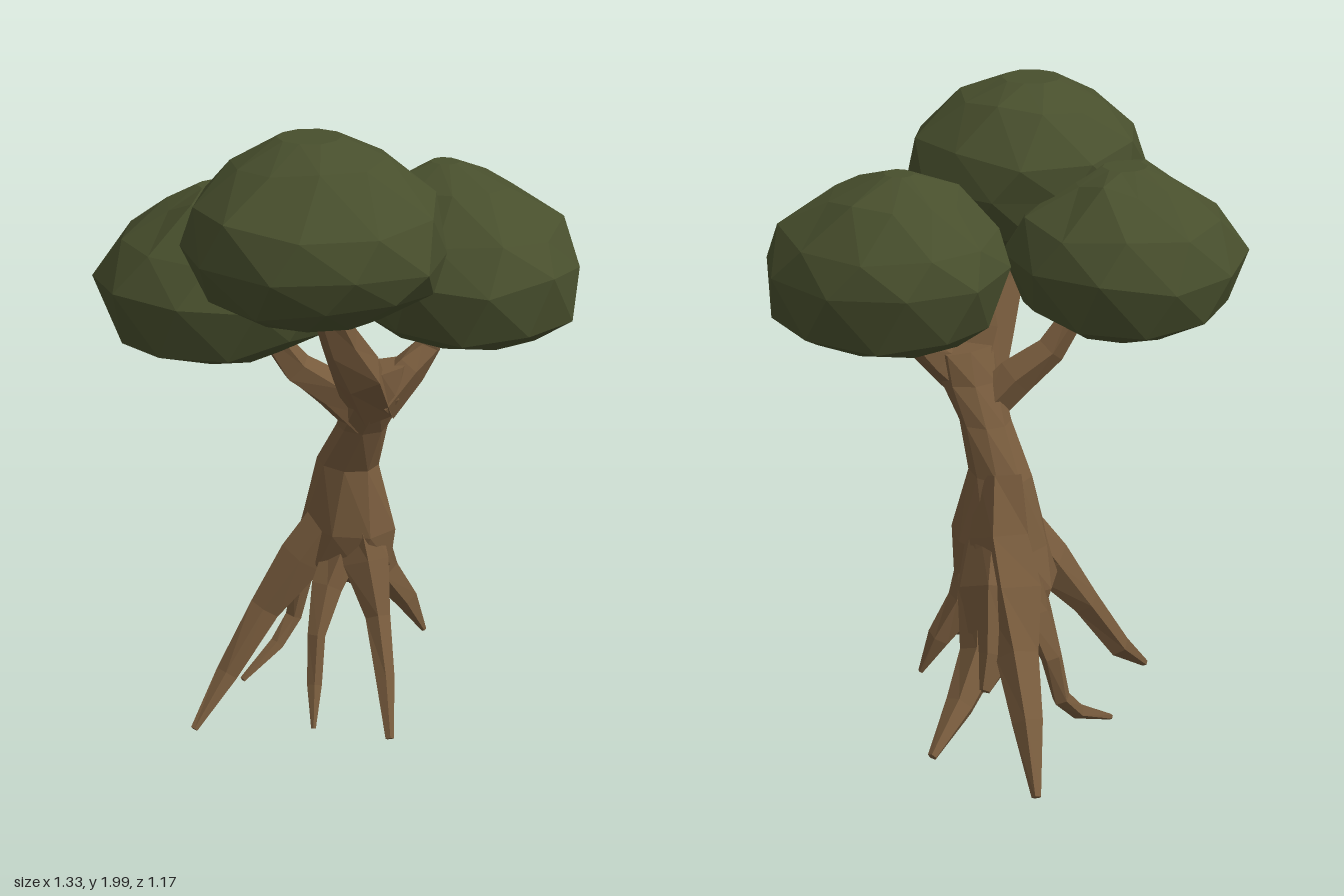
import * as THREE from 'three';

const V = (x, y, z) => new THREE.Vector3(x, y, z);

// Seeded noise in -1..1
function makeNoise(seed) {
  let s = seed;
  return () => {
    s = (s * 16807) % 2147483647;
    return (s / 2147483647) * 2 - 1;
  };
}

// Faceted skin over a list of rings, closed at both ends
function loft(rings) {
  const n = rings[0].length;
  const pts = [];
  const tri = (a, b, c) => pts.push(a, b, c);
  for (let i = 0; i < rings.length - 1; i++) {
    for (let j = 0; j < n; j++) {
      const k = (j + 1) % n;
      const lo = rings[i], hi = rings[i + 1];
      tri(lo[j], lo[k], hi[j]);
      tri(lo[k], hi[k], hi[j]);
    }
  }
  const centre = (r) => r.reduce((s, p) => s.add(p), V(0, 0, 0)).divideScalar(n);
  const first = rings[0], last = rings[rings.length - 1];
  const c0 = centre(first), c1 = centre(last);
  for (let j = 0; j < n; j++) {
    const k = (j + 1) % n;
    tri(first[k], first[j], c0);
    tri(last[j], last[k], c1);
  }
  const geo = new THREE.BufferGeometry().setFromPoints(pts);
  geo.computeVertexNormals();
  return geo;
}

// One ring around c, spanned by u and v
function ring(c, u, v, ru, rv, n, noise, rough, phase = 0) {
  return Array.from({ length: n }, (_, j) => {
    const a = (j / n) * Math.PI * 2 + phase;
    const k = 1 + noise() * rough;
    return c.clone()
      .addScaledVector(u, Math.cos(a) * ru * k)
      .addScaledVector(v, Math.sin(a) * rv * k);
  });
}

// Tapering limb through rows of [x, y, z, radius]
function limb(rows, seed) {
  const noise = makeNoise(seed);
  const c = rows.map((r) => V(r[0], r[1], r[2]));
  const rings = rows.map((r, i) => {
    const t = c[Math.min(i + 1, c.length - 1)].clone().sub(c[Math.max(i - 1, 0)]).normalize();
    const u = V(0.3, 0.2, 1).cross(t).normalize();
    const v = t.clone().cross(u);
    return ring(c[i], u, v, r[3], r[3], 5, noise, 0.12);
  });
  return loft(rings);
}

// Clump of leaves: profile of [height share, radius share], its top leaning by lean
function clump([x, y, z], [rx, height, rz], profile, [leanX, leanZ], seed) {
  const noise = makeNoise(seed);
  const rings = profile.map(([t, r], i) => {
    const c = V(x + leanX * t * t, y + t * height, z + leanZ * t * t);
    const R = ring(c, V(1, 0, 0), V(0, 0, -1), rx * r, rz * r, 10, noise, 0.04, seed + i * 0.22);
    // Uneven heights, except at the very bottom and top
    if (i > 0 && i < profile.length - 1) R.forEach((p) => { p.y += noise() * 0.02; });
    return R;
  });
  return loft(rings);
}

export function createModel() {
  const bark = new THREE.MeshStandardMaterial({ color: 0x765a3c });
  bark.name = 'bark brown';
  const leaf = new THREE.MeshStandardMaterial({ color: 0x484f2d });
  leaf.name = 'leaf green';

  const tree = new THREE.Group();
  tree.name = 'tree';
  const add = (name, geo, mat) => {
    const m = new THREE.Mesh(geo, mat);
    m.name = name;
    tree.add(m);
  };

  // Leaning trunk: x, y, z, half width, half depth
  const trunkNoise = makeNoise(71);
  const trunkRows = [
    [0.11, 0.43, -0.13, 0.09, 0.12],
    [0.10, 0.52, -0.09, 0.145, 0.185],
    [0.09, 0.64, -0.06, 0.14, 0.17],
    [0.08, 0.85, -0.05, 0.088, 0.108],
    [0.065, 1.0, 0.03, 0.08, 0.085],
    [0.055, 1.12, 0.1, 0.1, 0.085],
    [0.05, 1.22, 0.12, 0.12, 0.06],
  ];
  add('trunk', loft(trunkRows.map(([x, y, z, rx, rz], i) =>
    ring(V(x, y, z), V(1, 0, 0), V(0, 0, -1), rx, rz, 8, trunkNoise, 0.06, i * 0.2))), bark);

  // Branches, one up into each clump
  const branches = {
    frontRightBranch: [[0.05, 1.08, 0.09, 0.08], [-0.06, 1.23, 0.14, 0.08], [-0.16, 1.36, 0.17, 0.058], [-0.25, 1.5, 0.2, 0.04], [-0.29, 1.62, 0.22, 0.035]],
    backRightBranch: [[0.05, 1.03, 0.06, 0.07], [-0.03, 1.13, 0.0, 0.062], [-0.12, 1.21, -0.07, 0.05], [-0.21, 1.36, -0.12, 0.037]],
    leftBranch: [[0.05, 1.1, 0.11, 0.08], [0.15, 1.2, 0.15, 0.055], [0.22, 1.26, 0.165, 0.042], [0.25, 1.42, 0.18, 0.034]],
  };

  // Roots splaying out from the foot of the trunk
  const roots = {
    backLeftRoot: [[0.1, 0.86, -0.08, 0.07], [0.14, 0.68, -0.13, 0.1], [0.19, 0.53, -0.21, 0.115], [0.27, 0.38, -0.32, 0.075], [0.36, 0.24, -0.45, 0.05], [0.455, 0.08, -0.575, 0.015]],
    rootWeb: [[0.1, 0.75, -0.08, 0.08], [0.2, 0.53, -0.17, 0.12], [0.3, 0.36, -0.24, 0.07], [0.37, 0.28, -0.27, 0.02]],
    leftRoot: [[0.11, 0.78, -0.06, 0.07], [0.2, 0.51, -0.12, 0.1], [0.3, 0.35, -0.19, 0.07], [0.43, 0.24, -0.23, 0.045], [0.59, 0.145, -0.27, 0.016]],
    frontLeftRoot: [[0.13, 0.6, -0.03, 0.08], [0.21, 0.44, -0.02, 0.06], [0.28, 0.32, 0.02, 0.04], [0.33, 0.2, 0.06, 0.008]],
    rightRoot: [[0.05, 0.7, -0.06, 0.08], [-0.05, 0.53, -0.13, 0.075], [-0.16, 0.36, -0.19, 0.05], [-0.3, 0.16, -0.22, 0.04], [-0.455, 0.02, -0.2, 0.012]],
    smallRightRoot: [[0.05, 0.58, -0.03, 0.07], [-0.05, 0.46, -0.01, 0.05], [-0.13, 0.33, 0.03, 0.03], [-0.17, 0.18, 0.06, 0.026], [-0.22, 0.06, 0.11, 0.008]],
    frontRoot: [[0.08, 0.72, -0.02, 0.08], [0.06, 0.54, 0.06, 0.075], [0.03, 0.38, 0.14, 0.045], [-0.03, 0.22, 0.24, 0.033], [-0.1, 0.07, 0.335, 0.014]],
    backRoot: [[0.1, 0.58, -0.14, 0.08], [0.13, 0.44, -0.25, 0.06], [0.135, 0.33, -0.33, 0.035], [0.11, 0.18, -0.345, 0.03], [0.03, 0.1, -0.345, 0.026], [-0.12, 0.015, -0.35, 0.01]],
  };
  Object.entries({ ...branches, ...roots }).forEach(([name, rows], i) => add(name, limb(rows, 101 + i * 37), bark));

  // Three clumps of leaves
  add('topFrontLeaves', clump([-0.285, 1.5, 0.205], [0.38, 0.5, 0.375],
    [[0, 0.54], [0.15, 0.88], [0.36, 1], [0.62, 0.93], [0.87, 0.6], [1, 0.25]], [0.01, -0.04], 12), leaf);
  add('backLeaves', clump([-0.295, 1.29, -0.215], [0.375, 0.5, 0.365],
    [[0, 0.5], [0.14, 0.88], [0.44, 1], [0.7, 0.83], [0.92, 0.45], [1, 0.18]], [0.01, 0], 29), leaf);
  add('leftLeaves', clump([0.315, 1.32, 0.21], [0.355, 0.5, 0.39],
    [[0, 0.68], [0.1, 0.93], [0.42, 1], [0.64, 0.86], [0.86, 0.52], [1, 0.12]], [0, -0.08], 47), leaf);

  return tree;
}
